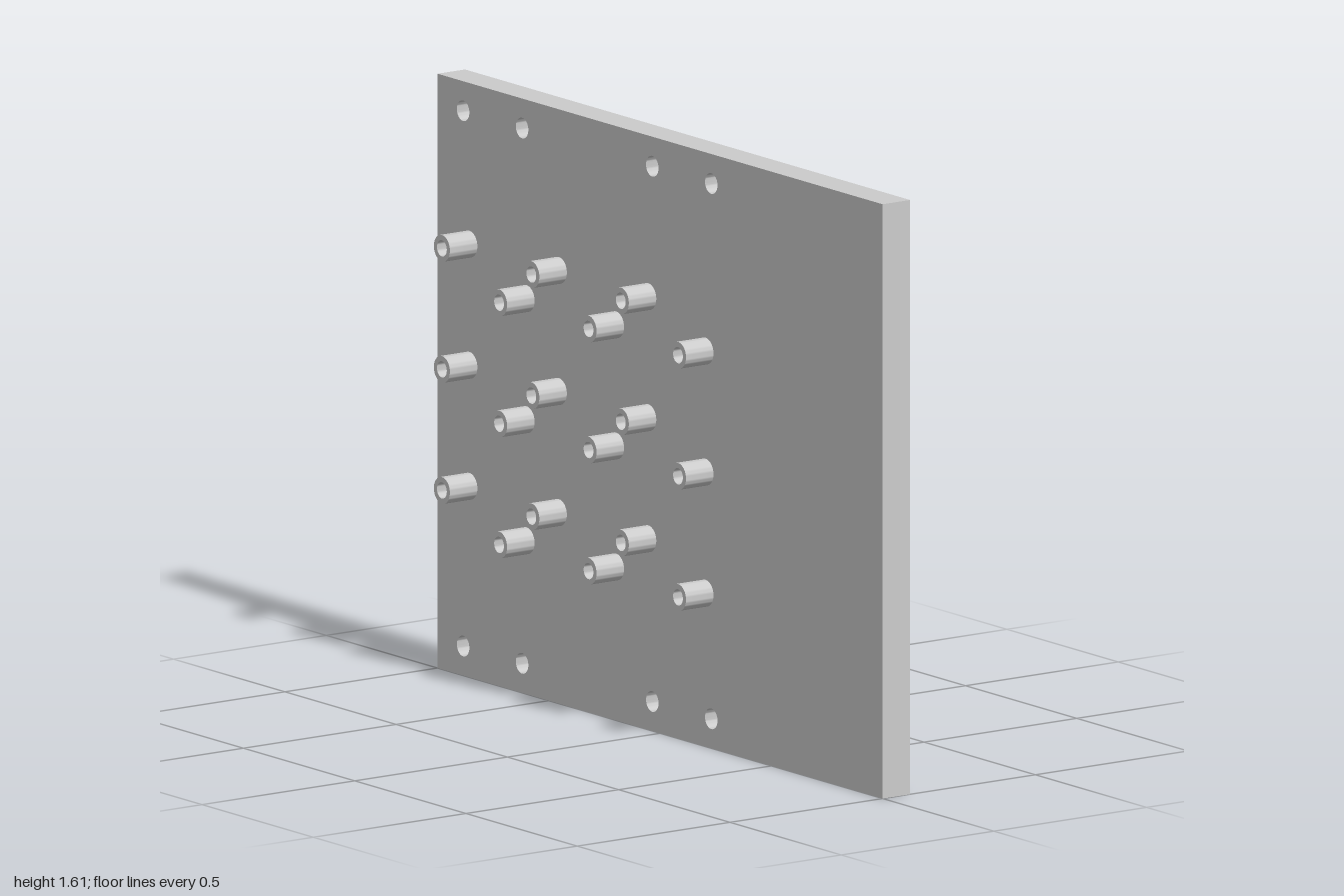
import * as THREE from 'three';
import { toCreasedNormals } from 'three/addons/utils/BufferGeometryUtils.js';

const W = 2, H = 1.61, T = 0.09;        // plate size
const HOLE_R = 0.028, BORE_R = 0.058, BORE_Z = -0.05;
const holes = [];
for (const y of [0.08, 1.53]) for (const x of [-0.885, -0.62, -0.035, 0.23]) holes.push([x, y]);

// Turned profile of [radius, z] points, with its axis along z
function turned(profile) {
  const points = profile.map(([r, z]) => new THREE.Vector2(r, z));
  return toCreasedNormals(new THREE.LatheGeometry(points, 40).rotateX(Math.PI / 2), 0.6);
}

// Rectangular plate face pierced by round holes
function face(radius) {
  const shape = new THREE.Shape();
  shape.moveTo(-W / 2, 0).lineTo(W / 2, 0).lineTo(W / 2, H).lineTo(-W / 2, H).closePath();
  for (const [x, y] of holes) {
    shape.holes.push(new THREE.Path().absarc(x, y, radius, 0, Math.PI * 2, true));
  }
  return new THREE.ShapeGeometry(shape, 20);
}

export function createModel() {
  const model = new THREE.Group();
  const material = new THREE.MeshStandardMaterial({ color: 0xcccccc });
  const add = (name, geometry, parent, x = 0, y = 0) => {
    const mesh = new THREE.Mesh(geometry, material);
    mesh.name = name;
    mesh.position.set(x, y, 0);
    parent.add(mesh);
  };

  // Plate: front and back faces, and the four edges of a box
  const plate = new THREE.Group();
  plate.name = 'plate';
  model.add(plate);
  add('plateFront', face(HOLE_R), plate);
  add('plateBack', face(BORE_R).scale(-1, 1, 1).rotateY(Math.PI), plate);
  const back = plate.children[1].geometry;
  // Mirroring flips the corner order, so turn each triangle round again
  const index = back.index;
  for (let i = 0; i < index.count; i += 3) {
    const a = index.getX(i);
    index.setX(i, index.getX(i + 2));
    index.setX(i + 2, a);
  }
  back.translate(0, 0, -T);
  back.computeVertexNormals();
  const edges = new THREE.BoxGeometry(W, H, T).translate(0, H / 2, -T / 2);
  edges.setIndex(Array.from(edges.index.array.slice(0, 24)));
  edges.clearGroups();
  add('plateEdges', edges, plate);

  // Screw holes, counterbored from the back
  const holeWall = turned([[HOLE_R, 0], [HOLE_R, BORE_Z], [BORE_R, BORE_Z], [BORE_R, -T]]);
  for (const [x, y] of holes) add('screwHole', holeWall, plate, x, y);

  // Hollow standoffs in two staggered 3 x 3 grids
  const post = turned([[0.036, 0], [0.036, 0.09], [0.022, 0.09], [0.022, 0]]);
  for (const [x0, y0] of [[-0.857, 0.518], [-0.6, 0.416]]) {
    for (let row = 0; row < 3; row++) {
      for (let col = 0; col < 3; col++) {
        add('standoff', post, model, x0 + col * 0.402, y0 + row * 0.328);
      }
    }
  }
  return model;
}
